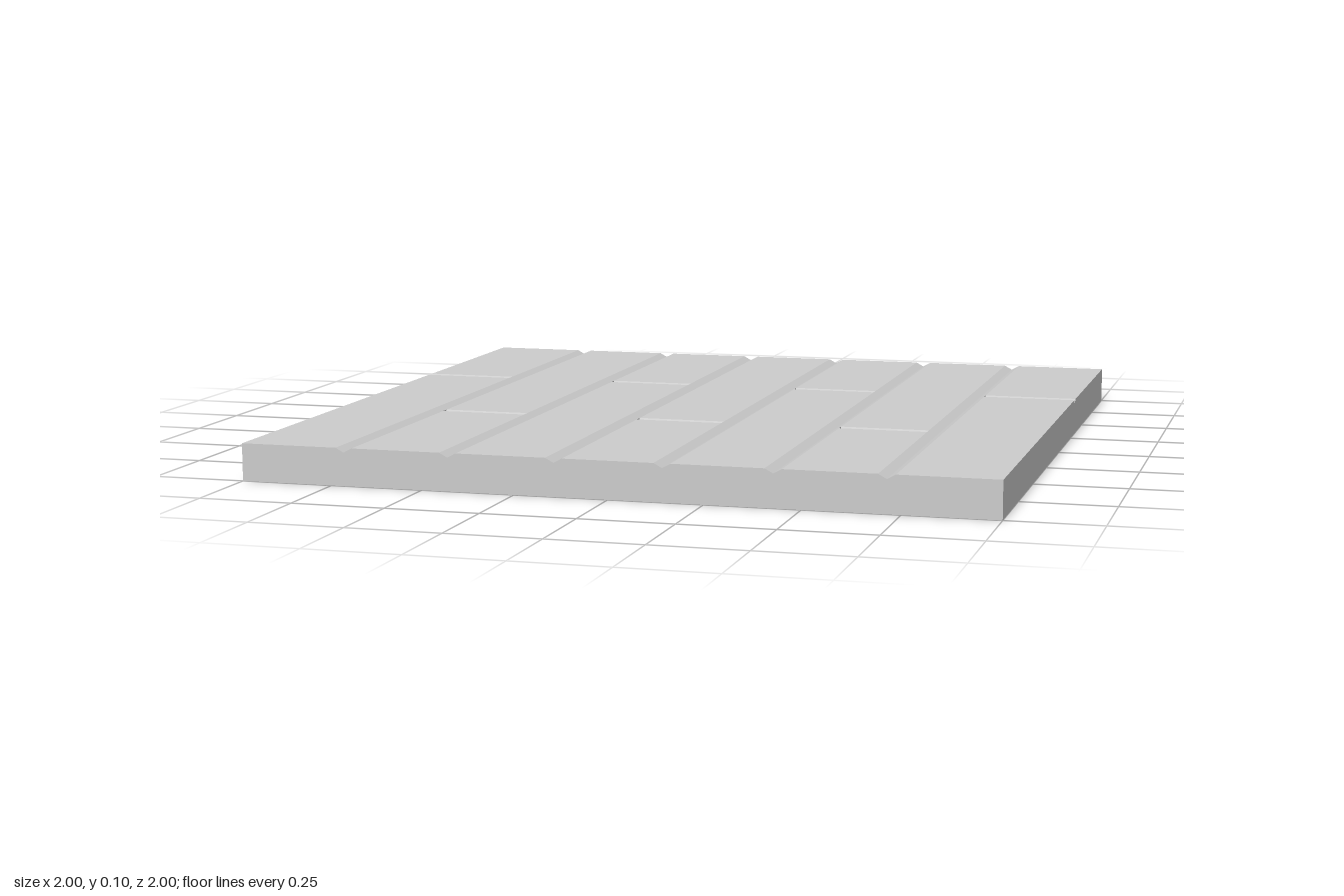
import * as THREE from 'three';

const PLANKS = 7, TOP = 0.1, PITCH = 2 / PLANKS;
const SEAM = 0.022, SEAM_DEPTH = 0.012;               // V seams between planks
const JOINT_Z = 0.336, JOINT = 0.014, JOINT_DEPTH = 0.012; // V joints across planks

// Outline in x,y (counterclockwise); dropEven / dropOdd lower the plank tops at a joint
function outline(dropEven, dropOdd) {
  const pts = [new THREE.Vector2(-1, 0), new THREE.Vector2(1, 0)];
  const add = (x, y) => pts.push(new THREE.Vector2(x, y));
  for (let i = PLANKS - 1; i >= 0; i--) {
    const y = TOP - (i % 2 ? dropOdd : dropEven);
    const left = -1 + i * PITCH, right = left + PITCH;
    const a = i === 0 ? left : left + SEAM;
    const b = i === PLANKS - 1 ? right : right - SEAM;
    if (i < PLANKS - 1) add(b, TOP);                   // joint ends in a small upright wall
    add(b, y);
    add(a, y);
    if (i > 0) {
      add(a, TOP);
      add(left, TOP - SEAM_DEPTH);                     // seam bottom
    }
  }
  return pts;
}

function floorGeometry() {
  const pos = [];
  const tri = (a, b, c) => {
    const t = new THREE.Triangle(a, b, c);
    if (t.getArea() > 1e-9) for (const p of [a, b, c]) pos.push(p.x, p.y, p.z);
  };
  const at = (p, z) => new THREE.Vector3(p.x, p.y, z);

  // Cross-sections from back to front
  const plain = outline(0, 0);
  const stations = [
    [-1, plain],
    [-JOINT_Z - JOINT, plain], [-JOINT_Z, outline(JOINT_DEPTH, 0)], [-JOINT_Z + JOINT, plain],
    [JOINT_Z - JOINT, plain], [JOINT_Z, outline(0, JOINT_DEPTH)], [JOINT_Z + JOINT, plain],
    [1, plain],
  ];
  for (let s = 0; s < stations.length - 1; s++) {
    const [z0, p0] = stations[s], [z1, p1] = stations[s + 1];
    for (let i = 0; i < p0.length; i++) {
      const j = (i + 1) % p0.length;
      tri(at(p0[i], z0), at(p0[j], z0), at(p1[j], z1));
      tri(at(p0[i], z0), at(p1[j], z1), at(p1[i], z1));
    }
  }

  // Front and back ends
  const cap = plain.filter((p, i) => i === 0 || !p.equals(plain[i - 1]));
  for (const [a, b, c] of THREE.ShapeUtils.triangulateShape(cap, [])) {
    tri(at(cap[a], 1), at(cap[b], 1), at(cap[c], 1));
    tri(at(cap[a], -1), at(cap[c], -1), at(cap[b], -1));
  }

  const geo = new THREE.BufferGeometry();
  geo.setAttribute('position', new THREE.Float32BufferAttribute(pos, 3));
  geo.computeVertexNormals();
  return geo;
}

export function createModel() {
  const group = new THREE.Group();
  group.name = 'plankFloorTile';
  const floor = new THREE.Mesh(
    floorGeometry(),
    new THREE.MeshStandardMaterial({ color: 0xcccccc, flatShading: true })
  );
  floor.name = 'plankFloor';
  group.add(floor);
  return group;
}
